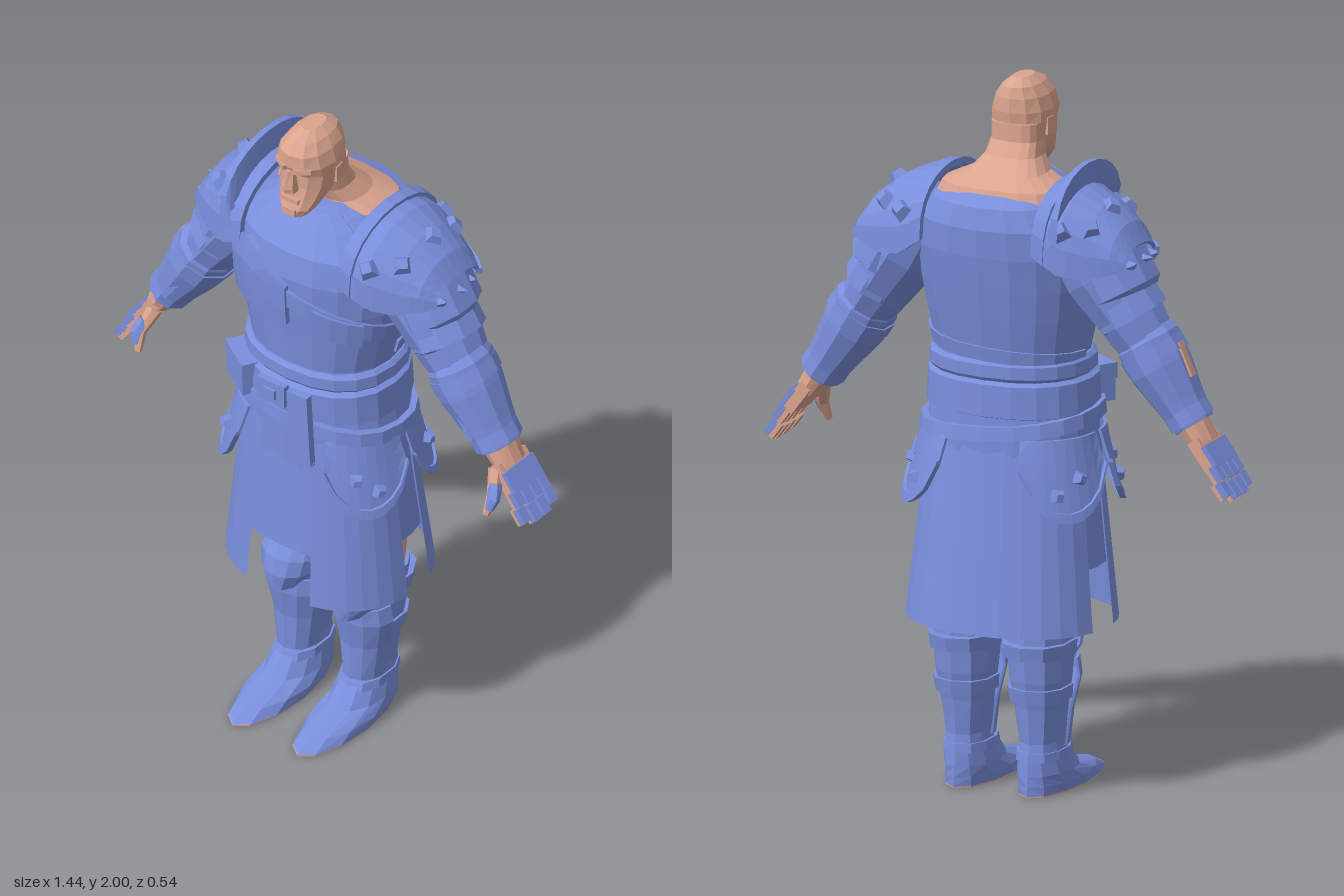
import * as THREE from 'three';

const V = (x, y, z) => new THREE.Vector3(x, y, z);
const lerp = THREE.MathUtils.lerp;
const spow = (v, p) => Math.sign(v) * Math.abs(v) ** p;

function fromTriangles(list) {
  const g = new THREE.BufferGeometry().setFromPoints(list);
  g.computeVertexNormals();
  return g;
}

// closed skin over a stack of rings
function loft(rings) {
  const t = [], n = rings[0].length, last = rings[rings.length - 1];
  for (let i = 0; i + 1 < rings.length; i++) for (let j = 0; j < n; j++) {
    const k = (j + 1) % n, a = rings[i], b = rings[i + 1];
    t.push(a[j], a[k], b[k], a[j], b[k], b[j]);
  }
  for (let j = 1; j + 1 < n; j++) t.push(rings[0][0], rings[0][j + 1], rings[0][j], last[0], last[j], last[j + 1]);
  return fromTriangles(t);
}

// raised plate over a surface fn(u, v, offset), its border stepping down to the surface
function patch(fn, nu, nv, off = 0) {
  const b = off ? 1 : 0, t = [], U = nu + 2 * b, W = nv + 2 * b;
  const at = (i, j) => fn(THREE.MathUtils.clamp((i - b) / nu, 0, 1), THREE.MathUtils.clamp((j - b) / nv, 0, 1),
    i === 0 || j === 0 || i === U || j === W ? 0 : off);
  for (let i = 0; i < U; i++) for (let j = 0; j < W; j++) {
    const p = at(i, j), q = at(i + 1, j), r = at(i + 1, j + 1), s = at(i, j + 1);
    t.push(p, q, r, p, r, s);
  }
  return fromTriangles(t);
}

// point at angle a on a flattened oval: front at a = 0, +x at a = PI / 2
const oval = (a, x, y, rx, zf, zb, p = 0.88) =>
  V(x + rx * spow(Math.sin(a), p), y, (zf + zb) / 2 + (zf - zb) / 2 * spow(Math.cos(a), p));
// rows: [y, rx, zf, zb]
const stack = (rows, x = 0, n = 16, p = 0.88) => loft(rows.map(([y, rx, zf, zb]) =>
  Array.from({ length: n }, (_, j) => oval(j / n * Math.PI * 2, x, y, rx, zf, zb, p))));
// points: [x, y, z, radius in the arm's plane, radius in z]
function limb(pts, n = 10) {
  return loft(pts.map(([x, y, z, ru, rz], i) => {
    const a = pts[Math.max(i - 1, 0)], b = pts[Math.min(i + 1, pts.length - 1)];
    const d = V(b[0] - a[0], b[1] - a[1], b[2] - a[2]).normalize();
    const u = d.clone().cross(V(0, 0, 1)).normalize(), v = u.clone().cross(d).normalize();
    return Array.from({ length: n }, (_, j) => {
      const t = j / n * Math.PI * 2;
      return V(x, y, z).addScaledVector(u, ru * Math.sin(t)).addScaledVector(v, rz * Math.cos(t));
    });
  }));
}
const box = (x, y, z, w, h, d, ry = 0, rz = 0) =>
  new THREE.BoxGeometry(w, h, d).rotateY(ry).rotateZ(rz).translate(x, y, z).toNonIndexed();
function stud(p, n, r, h = r * 0.8, top = 0.55) {
  return new THREE.CylinderGeometry(r * top, r, h, 4)
    .applyQuaternion(new THREE.Quaternion().setFromUnitVectors(V(0, 1, 0), n.clone().normalize()))
    .translate(p.x, p.y, p.z);
}
function mirrored(geo) {
  const g = geo.clone().scale(-1, 1, 1), p = g.attributes.position, a = V(0, 0, 0), b = V(0, 0, 0);
  for (let i = 0; i < p.count; i += 3) {
    a.fromBufferAttribute(p, i + 1); b.fromBufferAttribute(p, i + 2);
    p.setXYZ(i + 1, b.x, b.y, b.z); p.setXYZ(i + 2, a.x, a.y, a.z);
  }
  g.computeVertexNormals();
  return g;
}

const torsoRows = [[1.15, .215, .165, -.19], [1.25, .215, .165, -.195], [1.36, .24, .175, -.215], [1.45, .255, .185, -.23],
  [1.55, .262, .19, -.245], [1.63, .25, .175, -.25], [1.69, .2, .13, -.235], [1.725, .15, .1, -.15], [1.75, .09, .085, -.1]];
function onTorso(a, y, off) {
  let i = 0;
  while (i < torsoRows.length - 2 && torsoRows[i + 1][0] < y) i++;
  const A = torsoRows[i], B = torsoRows[i + 1], k = (y - A[0]) / (B[0] - A[0]);
  return oval(a, 0, y, lerp(A[1], B[1], k) + off, lerp(A[2], B[2], k) + off, lerp(A[3], B[3], k) - off);
}
function onSkirt(a, y, off = 0) {
  const k = (1.05 - y) / 0.57;
  return oval(a, 0, y, .235 + .06 * k + off, .17 + .05 * k + off, -.19 - .08 * k - off);
}
// shoulder dome rows: [x, top, half depth, bottom]; s runs outward, t runs front to back over the top
const domeRows = [[.17, 1.735, .188, 1.58], [.24, 1.73, .185, 1.53], [.31, 1.695, .152, 1.52], [.37, 1.645, .12, 1.535], [.405, 1.59, .09, 1.545]];
function onDome(s, t, off) {
  const f = s * 4, i = Math.min(Math.floor(f), 3), k = f - i;
  const [x, top, rz, low] = domeRows[i].map((a, j) => lerp(a, domeRows[i + 1][j], k));
  const c = t * Math.PI;
  return V(x + off * s, low + (top + off - low) * Math.sin(c) ** .75, -.045 - .018 * s + (rz + off) * Math.cos(c));
}

export function createModel() {
  const group = new THREE.Group();
  const blue = new THREE.MeshStandardMaterial({ color: 0x7a8fdd, flatShading: true, side: THREE.DoubleSide });
  const skin = new THREE.MeshStandardMaterial({ color: 0xdba48e, flatShading: true, side: THREE.DoubleSide });
  blue.name = 'armour blue'; skin.name = 'skin';
  const add = (name, geo, mat = blue) => {
    const m = new THREE.Mesh(geo.index ? geo.toNonIndexed() : geo, mat);
    m.name = name; group.add(m);
    return m.geometry;
  };
  const pair = (name, geo, mat) => add(name + 'Right', mirrored(add(name + 'Left', geo, mat)), mat);

  // head
  add('head', stack([[1.745, .035, .158, .1], [1.77, .055, .163, .06], [1.8, .068, .153, .02], [1.84, .08, .146, -.02],
    [1.88, .085, .146, -.04], [1.91, .085, .162, -.044], [1.95, .073, .16, -.042], [1.98, .052, .135, -.032], [2, .025, .09, .005]], 0, 12), skin);
  add('neck', stack([[1.66, .2, .04, -.2], [1.725, .175, .045, -.175], [1.752, .11, .045, -.12], [1.79, .08, .06, -.07], [1.83, .073, .08, -.045],
    [1.88, .073, .08, -.043]], 0, 16, .7), skin);
  add('nose', stack([[1.83, .022, .178, .12], [1.845, .02, .18, .12], [1.9, .011, .165, .12]], 0, 6), skin);
  add('mouth', box(0, 1.797, .15, .055, .014, .016), skin);
  add('chin', box(0, 1.762, .155, .045, .022, .02), skin);
  pair('brow', box(.034, 1.905, .143, .05, .015, .024, .5, .1), skin);
  pair('ear', box(.08, 1.865, .045, .012, .05, .032, .15), skin);

  // torso, chest and back plates
  add('torso', stack(torsoRows, 0, 20));
  add('chestPlate', patch((u, v, o) => {
    const top = u < .55 ? lerp(1.56, 1.625, u / .55) : lerp(1.625, 1.53, (u - .55) / .45);
    return onTorso(lerp(-1.05, .05, u), lerp(1.4, top, v), o);
  }, 6, 3, .018));
  add('chestStrap', patch((u, v, o) => onTorso(lerp(.05, 1.5, u), lerp(1.46, 1.34, u) + .055 * v, o), 7, 1, .01));
  add('chestPouch', patch((u, v, o) => onTorso(lerp(.35, .95, u), lerp(1.4, 1.36, u) + .08 * v, o), 3, 1, .02));
  add('backStrap', patch((u, v, o) => onTorso(lerp(1.6, 4.7, u), lerp(1.27, 1.22, u) + .04 * v, o), 10, 1, .008));
  add('collar', patch((u, v, o) => onTorso(lerp(-.9, .9, u), lerp(1.66, 1.74, v), o), 6, 2, .006));

  // belts, buckle, pouch and hanging strap
  add('sash', stack([[1.19, .225, .172, -.2], [1.2, .234, .18, -.207], [1.235, .232, .18, -.207], [1.245, .22, .17, -.2]], 0, 20));
  add('belt', stack([[1.085, .23, .175, -.2], [1.09, .243, .187, -.213], [1.18, .238, .187, -.21], [1.19, .22, .17, -.2]], 0, 20));
  add('hips', stack([[.9, .24, .175, -.2], [1.05, .24, .175, -.2], [1.16, .22, .17, -.195]], 0, 20));
  add('lowerBelt', patch((u, v, o) => onSkirt(u * Math.PI * 2, 1.035 + .03 * Math.cos(u * Math.PI * 2 + 1) + .04 * v, o), 20, 1, .025));
  add('buckle', box(-.03, 1.15, .195, .095, .07, .02));
  add('buckleStud', box(-.03, 1.15, .207, .04, .03, .014));
  add('beltPouch', box(-.175, 1.13, .138, .12, .1, .05, -.55));
  add('pouchFlap', box(-.175, 1.165, .14, .13, .045, .056, -.55));
  add('hangingStrap', box(.07, 1.07, .198, .07, .23, .022, 0, .06));
  add('strapTip', box(.077, .962, .199, .051, .051, .022, 0, .82));

  // skirt panels: start angle, end angle, hem height, offset, segments
  const skirt = (a0, a1, hem, off, n) => patch((u, v) => onSkirt(lerp(a0, a1, u), lerp(1.06, hem, v), off), n, 4);
  add('frontCloth', skirt(-.42, .42, .635, -.008, 4));
  pair('frontSkirt', skirt(.33, 1.47, .48, 0, 6));
  pair('sideCloth', skirt(1.4, 1.9, .65, -.01, 2));
  add('backSkirt', skirt(1.84, Math.PI * 2 - 1.84, .48, 0, 12));

  // scalloped hip plates with studs
  for (const [name, a0, a1] of [['frontHipPlate', .5, 1.52], ['backHipPlate', 1.62, 2.75]]) {
    const bottom = u => .94 - .135 * Math.sin(Math.PI * u) ** .6;
    const at = (u, v, o) => onSkirt(lerp(a0, a1, u), lerp(1.03, bottom(u), v), .012 + .022 * v + o);
    pair(name, patch(at, 8, 3, .008));
    pair(name + 'Rim', patch((u, v, o) => at(u, lerp(.88, 1, v), o), 8, 1, .016));
    for (const [u, v] of [[.35, .5], [.62, .68]]) {
      const p = at(u, v, .014);
      pair(name + 'Stud', stud(p, V(p.x, 0, p.z + .025), .026, .022));
    }
  }

  // shoulder domes with rims and studs
  pair('shoulderPlate', patch(onDome, 8, 12, .008));
  pair('shoulderRim', patch((u, v, o) => onDome(u * .12, v, o), 1, 12, .02));
  for (const t of [0, .92]) pair('shoulderEdge', patch((u, v, o) => onDome(u, t + v * .08, o), 6, 1, .014));
  for (const [s, t] of [[.5, .25], [.55, .52], [.5, .76], [.25, .16], [.25, .84]]) {
    const p = onDome(s, t, .012);
    pair('shoulderStud', stud(p, V(p.x - .2, p.y - 1.5, p.z + .05), .036, .028));
  }
  // standing crest on the right shoulder, two faces meeting at a thin edge
  for (const [name, off] of [['crestInner', .009], ['crestOuter', -.009]])
    add(name, patch((u, v, o) => V(lerp(-.225, -.24, v) + o, lerp(1.6, 1.62, v) + lerp(.11, .185, v) * Math.sin(Math.PI * u) ** .7,
      -.05 + .2 * Math.cos(Math.PI * u)), 12, 1, off));

  // arms
  pair('upperArm', limb([[.22, 1.63, -.06, .1, .14], [.3, 1.5, -.06, .11, .135], [.37, 1.4, -.055, .095, .115], [.44, 1.3, -.05, .08, .09]]));
  pair('upperArmPlate', limb([[.3, 1.56, -.06, .11, .13], [.36, 1.455, -.06, .11, .13], [.362, 1.45, -.06, .095, .11]]));
  pair('lowerArmPlate', limb([[.34, 1.47, -.06, .09, .11], [.39, 1.385, -.055, .1, .118], [.395, 1.38, -.055, .08, .1]]));
  pair('bracer', limb([[.415, 1.34, -.05, .08, .09], [.43, 1.32, -.05, .092, .102], [.47, 1.25, -.05, .09, .1],
    [.53, 1.16, -.05, .07, .08], [.572, 1.1, -.05, .058, .068]]));
  for (const [x, y, r] of [[.45, 1.285, .095], [.555, 1.125, .066]])
    pair('bracerBand', limb([[x - .012, y + .018, -.05, r, r + .01], [x + .012, y - .018, -.05, r, r + .01]]));
  for (const k of [0, 1]) pair('bracerClasp', box(.5 + k * .02, 1.19 - k * .03, .025, .045, .016, .02, 0, -.9));
  add('armSlit', mirrored(box(.549, 1.285, -.055, .009, .1, .026, 0, .42)), skin);
  pair('armSpike', stud(V(.415, 1.555, -.06), V(1, .2, 0), .03, .07, .05));
  for (const [y, z] of [[1.56, .01], [1.56, -.12], [1.47, -.055]]) pair('armStud', stud(V(.415, y - .01, z), V(1, .4, z + .055), .022, .03, .2));

  // hands: palms with plated backs; coordinates run along the hand, out of its back, and across
  const hand = (l, n, z, len, th, w) => new THREE.BoxGeometry(len, th, w).applyMatrix4(
    new THREE.Matrix4().makeBasis(V(.6, -.8, 0), V(.8, .6, 0), V(0, 0, 1))
      .setPosition(.585 + .6 * l + .8 * n, 1.08 - .8 * l + .6 * n, z - .05));
  pair('wrist', limb([[.56, 1.115, -.05, .047, .057], [.605, 1.05, -.05, .036, .052]]), skin);
  pair('palm', hand(.06, 0, 0, .09, .036, .12), skin);
  pair('handPlate', hand(.075, .021, 0, .065, .014, .126));
  for (let i = 0; i < 4; i++) {
    const z = (i - 1.5) * .036, len = i === 0 || i === 3 ? .048 : .055;
    for (const k of [0, 1]) {
      const l = .1 + len * (k + .5), n = .006 - k * .008, spread = z * (1 + k * .12);
      pair('finger', hand(l, n - .01, spread, len, .016, .024), skin);
      pair('fingerPlate', hand(l, n + .006, spread, len * .92, .02, .029));
    }
  }
  pair('thumb', limb([[.59, 1.05, -.005, .022, .024], [.61, .99, .035, .018, .018], [.602, .935, .057, .01, .01]], 6), skin);
  pair('thumbPlate', limb([[.606, 1.02, .02, .02, .02], [.618, .985, .044, .019, .017], [.612, .955, .055, .012, .012]], 6));

  // legs, boots and soles
  add('shorts', stack([[.63, .19, .06, -.16], [.95, .2, .12, -.17]], 0, 12));
  add('groin', stack([[.475, .015, .045, -.01], [.5, .043, .05, -.03], [.6, .05, .055, -.04], [.66, .07, .055, -.06]], 0, 10), skin);
  add('loinCloth', stack([[.484, .018, .06, 0], [.51, .038, .064, 0], [.58, .046, .066, 0], [.61, .04, .066, 0]], 0, 10));
  pair('thigh', stack([[.4, .08, .01, -.16], [.52, .088, .015, -.17], [.7, .095, .03, -.17]], .11, 10), skin);
  pair('boot', stack([[.1, .064, .045, -.152], [.15, .058, .02, -.145], [.25, .072, .012, -.155], [.33, .083, .022, -.172],
    [.42, .09, .035, -.18], [.475, .091, .02, -.178]], .113, 10));
  pair('foot', stack([[.004, .08, .27, -.16], [.03, .082, .215, -.158], [.06, .076, .1, -.155], [.12, .064, .045, -.15]], .112, 12, 1.05));
  pair('sole', stack([[0, .079, .268, -.158], [.006, .079, .268, -.158]], .112, 12, 1.05), skin);
  for (const [y, r, zf, zb] of [[.42, .095, .04, -.2], [.29, .084, .02, -.172]])
    pair('bootStrap', stack([[y - .02, r, zf, zb], [y + .02, r + .004, zf, zb - .006]], .113, 10));
  pair('toeBand', stack([[.1, .07, .056, -.156], [.125, .067, .045, -.153]], .112, 10));
  // shin, knee and thigh guards wrapping the front of the leg
  const guard = (rows, reach) => patch((u, v, o) => {
    const [y, rx, zf] = rows[Math.round(v * (rows.length - 1))];
    return oval(lerp(-reach, reach, u), .114, y, rx + o, zf + o, -.12, 1);
  }, 6, rows.length - 1, .006);
  pair('shinGuard', guard([[.13, .056, .03], [.24, .072, .03], [.33, .093, .045], [.38, .084, .045]], 1.55));
  pair('kneeGuard', guard([[.36, .045, .08], [.41, .08, .082], [.46, .09, .07], [.51, .078, .04]], 1.3));
  pair('thighGuard', guard([[.48, .084, .035], [.55, .092, .04], [.61, .094, .045]], 1.15));
  return group;
}
